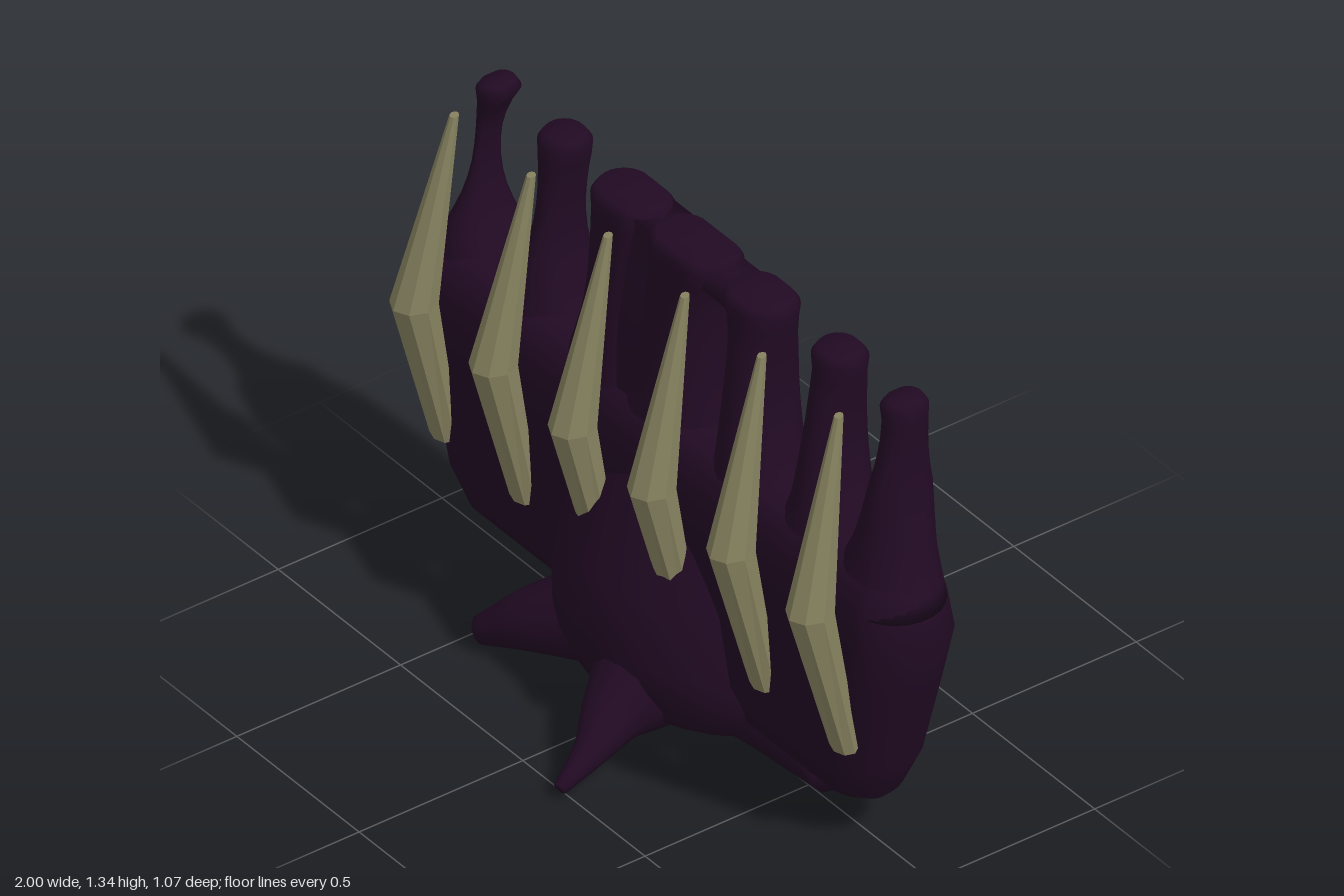
import * as THREE from 'three';

const flesh = new THREE.MeshStandardMaterial({ color: 0x210a23 });
flesh.name = 'dark purple flesh';
const bone = new THREE.MeshStandardMaterial({ color: 0x85815f });
bone.name = 'dull bone';
const { lerp } = THREE.MathUtils;

// Closed skin over a stack of equal-sized rings
function loft(rings, flat = false) {
  const n = rings[0].length, pos = [], idx = [];
  rings.forEach(r => r.forEach(p => pos.push(p.x, p.y, p.z)));
  for (let i = 0; i < rings.length - 1; i++)
    for (let j = 0; j < n; j++) {
      const a = i * n + j, b = i * n + (j + 1) % n;
      idx.push(a, a + n, b, b, a + n, b + n);
    }
  // end caps
  [0, rings.length - 1].forEach((i, top) => {
    const c = new THREE.Vector3();
    rings[i].forEach(p => c.addScaledVector(p, 1 / n));
    const k = pos.length / 3;
    pos.push(c.x, c.y, c.z);
    for (let j = 0; j < n; j++) {
      const a = i * n + j, b = i * n + (j + 1) % n;
      if (top) idx.push(k, b, a);
      else idx.push(k, a, b);
    }
  });
  let g = new THREE.BufferGeometry();
  g.setAttribute('position', new THREE.Float32BufferAttribute(pos, 3));
  g.setIndex(idx);
  if (flat) g = g.toNonIndexed();
  g.computeVertexNormals();
  return g;
}

// Horizontal elliptical ring
function ovalRing(y, cx, cz, hx, hz, n) {
  return Array.from({ length: n }, (_, j) => {
    const a = j / n * Math.PI * 2;
    return new THREE.Vector3(cx + hx * Math.cos(a), y, cz + hz * Math.sin(a));
  });
}

// Horizontal bar-shaped ring with half-round ends
function barRing(y, x0, x1, z0, z1) {
  const hx = (x1 - x0) / 2, hz = (z1 - z0) / 2, r = Math.min(hx, hz);
  return ovalRing(y, 0, 0, 1, 1, 24).map(p => {
    p.applyAxisAngle(new THREE.Vector3(0, 1, 0), -Math.PI / 24);
    return new THREE.Vector3(
      x0 + hx + Math.sign(p.x) * (hx - r) + r * p.x, y,
      z0 + hz + Math.sign(p.z) * (hz - r) + r * p.z);
  });
}

// Tapered limb along points [x, y, z, radius]
function limb(pts) {
  const curve = new THREE.CatmullRomCurve3(pts.map(p => new THREE.Vector3(p[0], p[1], p[2])));
  const steps = 10, rings = [], up = new THREE.Vector3(0, 1, 0);
  for (let i = 0; i <= steps; i++) {
    const f = i / steps * (pts.length - 1), k = Math.min(Math.floor(f), pts.length - 2);
    const r = lerp(pts[k][3], pts[k + 1][3], f - k);
    const p = curve.getPoint(i / steps), t = curve.getTangent(i / steps);
    const u = t.clone().cross(up).normalize(), v = u.clone().cross(t);
    rings.push(ovalRing(0, 0, 0, r, r, 12).map(q =>
      p.clone().addScaledVector(u, q.x).addScaledVector(v, q.z)));
  }
  return loft(rings);
}

// Torn column: flared foot, narrow waist, flared and rounded top
function column([foot0, foot1, waistY, waist0, waist1, top0, top1]) {
  const rings = [], footY = 0.78, topY = 1.32;
  // outer columns are shallower at the front
  const front = Math.abs(top0 + top1) > 0.9 ? 0.02 : 0.052;
  const addRing = (y, x0, x1, inset) => {
    const t = Math.min((y - footY) / 0.5, 1), w = x1 - x0;
    const zf = lerp(0.13, front, Math.sqrt(t) * 0.5 + t * 0.5), zb = lerp(-0.125, -0.115, t);
    const half = ((zf - zb) / 2 - inset) * Math.min(1, 0.3 + w * 6), mid = (zf + zb) / 2;
    rings.push(barRing(y, x0 + inset, x1 - inset, mid - half, mid + half));
  };
  for (let i = 0; i <= 12; i++) {
    const y = lerp(footY, topY, i / 12), low = y < waistY;
    const k = ((y - waistY) / ((low ? footY : topY) - waistY)) ** 2;
    addRing(y, lerp(waist0, low ? foot0 : top0, k), lerp(waist1, low ? foot1 : top1, k), 0);
  }
  addRing(1.342, top0, top1, 0.015);
  return loft(rings);
}

export function createModel() {
  const model = new THREE.Group();
  const add = (name, geometry, material = flesh) => {
    const m = new THREE.Mesh(geometry, material);
    m.name = name;
    model.add(m);
  };

  // Broad slab: height, half width, half depth
  add('bodySlab', loft([
    [0.14, 0.8, 0.04], [0.165, 0.825, 0.1], [0.28, 0.88, 0.14], [0.55, 0.96, 0.145],
    [0.69, 1, 0.145], [0.78, 0.98, 0.135], [0.84, 0.96, 0.115], [0.87, 0.93, 0.08],
  ].map(([y, w, d]) => barRing(y, -w, w, -d, d))));

  // Swollen belly: height, half width, half depth
  add('belly', loft([
    [0.003, 0.03, 0.02], [0.06, 0.3, 0.19], [0.11, 0.38, 0.25], [0.2, 0.41, 0.288],
    [0.28, 0.405, 0.294], [0.46, 0.37, 0.28], [0.66, 0.27, 0.157], [0.8, 0.15, 0.11],
  ].map(([y, w, d]) => ovalRing(y, 0.01, 0, w, d, 28))));

  // Columns along the top: foot x range, waist height and x range, top x range
  [
    [-0.99, -0.72, 1.14, -0.877, -0.85, -0.88, -0.785],
    [-0.7, -0.42, 1.12, -0.605, -0.52, -0.63, -0.49],
    [-0.45, -0.08, 1.12, -0.37, -0.14, -0.38, -0.14],
    [-0.2, 0.14, 1.12, -0.14, 0.1, -0.14, 0.14],
    [0.16, 0.45, 1.12, 0.205, 0.35, 0.16, 0.37],
    [0.42, 0.77, 1.12, 0.505, 0.62, 0.49, 0.64],
    [0.65, 0.985, 1.23, 0.785, 0.878, 0.775, 0.88],
  ].forEach((c, i) => add('column' + (i + 1), column(c)));

  // Web between the two middle columns, and the bridge over the slot
  add('columnWeb', loft([barRing(0.8, -0.3, 0, -0.11, 0.1), barRing(1.33, -0.3, 0, -0.1, 0.03)]));
  add('slotBridge', loft([barRing(1.28, 0.04, 0.28, -0.09, 0.03), barRing(1.33, 0.04, 0.28, -0.09, 0.02)]));

  // Root-like limbs, front and back
  for (const [side, s] of [['front', 1], ['back', -1]]) {
    add(side + 'LongRoot', limb([[0.08, 0.17, s * 0.18, 0.15], [0.115, 0.13, s * 0.31, 0.085],
      [0.16, 0.09, s * 0.41, 0.046], [0.185, 0.035, s * 0.525, 0.018]]));
    add(side + 'ShortRoot', limb([[-0.2, 0.17, s * 0.12, 0.13], [-0.33, 0.12, s * 0.22, 0.085],
      [-0.45, 0.05, s * 0.295, 0.038]]));
  }
  // Blunt stub under the left side
  add('stubRoot', limb([[0.1, 0.17, 0, 0.16], [0.35, 0.15, -0.01, 0.12], [0.595, 0.105, -0.02, 0.08]]));

  // Bent rib spikes: height, z, half width, half depth, lean, tilt of the ring
  for (let i = 0; i < 6; i++) {
    const x = -0.788 + i * 0.3145;
    const rows = [[0.36, 0.128, 0.045, 0.031, 1.04, -0.2], [0.8, 0.226, 0.058, 0.064, 1.03, 0], [1.333, 0.121, 0.012, 0.012, 1, -0.2]];
    add('ribSpike' + (i + 1), loft(rows.map(([y, z, w, d, lean, tilt]) => {
      const r = ovalRing(y, x * lean, z, w, d, 8);
      r.forEach(p => { p.y += (p.z - z) * tilt; });
      return r;
    }), true), bone);
  }
  return model;
}
